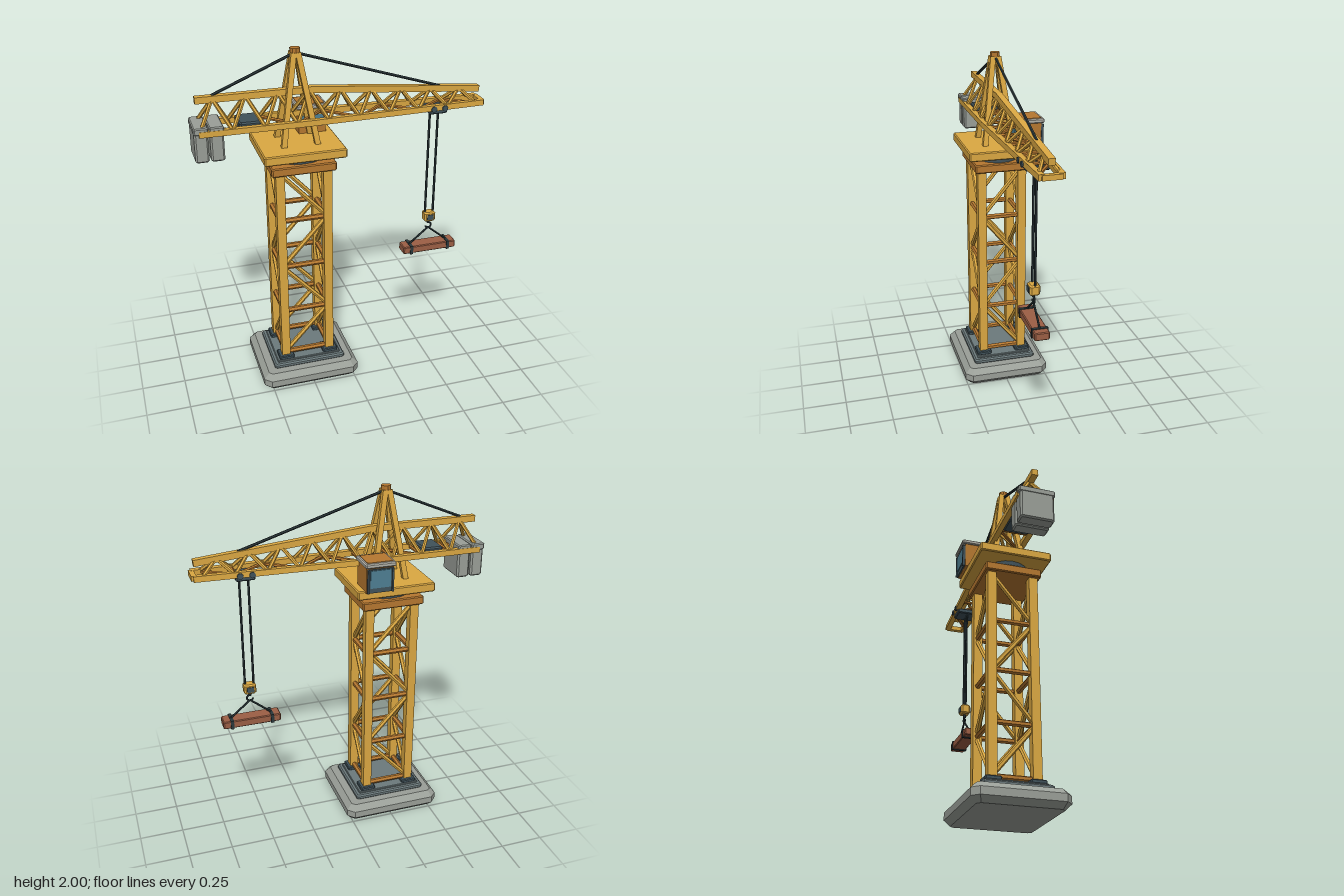
import * as THREE from 'three';

const mat = (name, color) => new THREE.MeshStandardMaterial({ name, color, flatShading: true });

export function createModel() {
  const yellow = mat('yellow paint', 0xdba842), orange = mat('orange paint', 0xb67830);
  const concrete = mat('concrete', 0x9a9f98), slate = mat('slate steel', 0x6c7a7c);
  const dark = mat('dark steel', 0x40525a), cable = mat('cable', 0x2b383b);
  const glass = mat('glass', 0x4f7f93), timber = mat('timber', 0x9c5f45);
  const trim = mat('pale trim', 0xb3b1a8);

  const model = new THREE.Group();
  model.name = 'towerCrane';
  const group = (name) => {
    const g = new THREE.Group();
    g.name = name;
    model.add(g);
    return g;
  };
  const V = (x, y, z) => new THREE.Vector3(x, y, z);
  const add = (parent, name, geo, m, x = 0, y = 0, z = 0) => {
    const mesh = new THREE.Mesh(geo, m);
    mesh.name = name;
    mesh.position.set(x, y, z);
    parent.add(mesh);
    return mesh;
  };
  const box = (p, name, m, w, h, d, x, y, z) => add(p, name, new THREE.BoxGeometry(w, h, d), m, x, y, z);

  // Straight bar between two points; four sides make a square beam of half-width r
  const rod = (p, name, m, a, b, r, sides = 6) => {
    const geo = sides === 4
      ? new THREE.BoxGeometry(2 * r, a.distanceTo(b), 2 * r)
      : new THREE.CylinderGeometry(r, r, a.distanceTo(b), sides);
    const mesh = add(p, name, geo, m);
    mesh.position.copy(a).add(b).multiplyScalar(0.5);
    mesh.quaternion.setFromUnitVectors(V(0, 1, 0), b.clone().sub(a).normalize());
    return mesh;
  };

  // Block with chamfered edges and corners, standing on y
  const slab = (p, name, m, w, h, d, c, x, y, z) => {
    const X = w / 2 - c, Z = d / 2 - c, k = c * 0.6;
    const pts = [[X, -Z + k], [X, Z - k], [X - k, Z], [-X + k, Z], [-X, Z - k], [-X, -Z + k], [-X + k, -Z], [X - k, -Z]];
    const geo = new THREE.ExtrudeGeometry(new THREE.Shape(pts.map((q) => new THREE.Vector2(...q))), {
      depth: h - 2 * c, bevelEnabled: true, bevelThickness: c, bevelSize: c, bevelSegments: 1,
    });
    geo.translate(0, 0, c).rotateX(-Math.PI / 2);
    return add(p, name, geo, m, x, y, z);
  };

  const CX = -0.262; // mast axis

  // Footing
  const base = group('base');
  slab(base, 'footing', concrete, 0.58, 0.105, 0.52, 0.032, CX, 0, 0);
  slab(base, 'lowerPlinth', slate, 0.43, 0.03, 0.38, 0.008, CX, 0.105, 0);
  slab(base, 'upperPlinth', slate, 0.385, 0.014, 0.335, 0.004, CX, 0.132, 0);

  // Lattice mast
  const mast = group('mast');
  const LX = 0.134, LZ = 0.12;
  for (const sx of [-1, 1]) for (const sz of [-1, 1]) {
    slab(mast, 'footPlate', dark, 0.09, 0.024, 0.09, 0.005, CX + sx * LX, 0.144, sz * LZ);
    box(mast, 'mastLeg', yellow, 0.05, 1.19, 0.05, CX + sx * LX, 0.755, sz * LZ);
  }
  const levels = [0.175, 0.467, 0.761, 1.055, 1.347];
  for (const s of [-1, 1]) {
    levels.forEach((y, i) => {
      if (i < 4) {
        rod(mast, 'crossBar', orange, V(CX - LX, y, s * LZ), V(CX + LX, y, s * LZ), 0.016);
        rod(mast, 'crossBar', orange, V(CX + s * LX, y, -LZ), V(CX + s * LX, y, LZ), 0.016);
        const t = i % 2 ? -1 : 1;
        const top = levels[i + 1];
        rod(mast, 'diagonalBrace', yellow, V(CX - t * LX, y, s * LZ), V(CX + t * LX, top, s * LZ), 0.014);
        rod(mast, 'diagonalBrace', yellow, V(CX + s * LX, y, -t * LZ), V(CX + s * LX, top, t * LZ), 0.014);
      }
    });
  }

  // Slewing collar and platform
  const turntable = group('turntable');
  slab(turntable, 'collar', orange, 0.364, 0.05, 0.325, 0.006, CX, 1.342, 0);
  add(turntable, 'slewRing', new THREE.CylinderGeometry(0.16, 0.16, 0.045, 20), dark, CX, 1.411, 0).scale.z = 0.85;
  slab(turntable, 'platform', yellow, 0.456, 0.052, 0.412, 0.006, CX, 1.43, 0);

  // Tower head
  const head = group('towerHead');
  for (const sx of [-1, 1]) for (const sz of [-1, 1]) {
    rod(head, 'headLeg', yellow, V(CX + sx * 0.095, 1.475, sz * 0.085), V(CX + sx * 0.012, 1.975, sz * 0.016), 0.015, 4);
  }
  add(head, 'headCap', new THREE.CylinderGeometry(0.028, 0.028, 0.035, 10), orange, CX, 1.9825, 0);

  // Jib: two lower chords, one upper chord, lacing
  const jib = group('jib');
  const BEND = -0.17, TIP = 0.82, BACK = -0.805;
  const mixTo = (x, a, b) => THREE.MathUtils.lerp(a, b, THREE.MathUtils.clamp((x - BEND) / (TIP - BEND), 0, 1));
  const upper = (x) => V(x, mixTo(x, 1.765, 1.676), 0);
  const lower = (x, s) => V(x, 1.607, s * mixTo(x, 0.088, 0.052));
  rod(jib, 'upperChord', yellow, upper(BACK), upper(BEND + 0.003), 0.018, 4);
  rod(jib, 'upperChord', yellow, upper(BEND), upper(0.81), 0.018, 4);
  for (const s of [-1, 1]) {
    rod(jib, 'lowerChord', yellow, lower(BACK, s), lower(BEND + 0.003, s), 0.016, 4);
    rod(jib, 'lowerChord', yellow, lower(BEND, s), lower(TIP, s), 0.016, 4);
  }
  const STEP = 0.175;
  for (let i = 0; i < 9; i++) {
    const x0 = -0.8 + i * STEP, x1 = x0 + STEP, xm = x0 + STEP / 2;
    for (const s of [-1, 1]) {
      rod(jib, 'sideLacing', yellow, lower(x0, s), upper(xm), 0.011);
      rod(jib, 'sideLacing', yellow, upper(xm), lower(x1, s), 0.011);
    }
    const t = i % 2 ? 1 : -1;
    rod(jib, 'floorLacing', orange, lower(x0, t), lower(x1, -t), 0.01);
    rod(jib, 'floorBar', orange, lower(x0, -1), lower(x0, 1), 0.01);
  }
  rod(jib, 'tipBar', yellow, V(0.817, 1.607, -0.052), V(0.817, 1.607, 0.052), 0.014, 4);

  // Counterweights and winch
  const counter = group('counterweights');
  for (const x of [-0.795, -0.712]) {
    slab(counter, 'counterweightBlock', concrete, 0.074, 0.17, 0.19, 0.008, x, 1.447, 0);
    slab(counter, 'counterweightCap', concrete, 0.078, 0.038, 0.204, 0.006, x, 1.604, 0);
  }
  slab(jib, 'winch', dark, 0.12, 0.055, 0.15, 0.008, -0.528, 1.585, 0);

  // Pendant cables
  rod(head, 'pendantCable', cable, V(CX, 1.972, 0), V(-0.715, 1.782, 0), 0.008);
  rod(head, 'pendantCable', cable, V(CX, 1.972, 0), V(0.57, 1.712, 0), 0.008);

  // Operator cab, windows on both z faces
  const cab = group('cab');
  const KX = -0.152, KZ = -0.152;
  box(cab, 'cabBody', orange, 0.156, 0.15, 0.142, KX, 1.549, KZ);
  slab(cab, 'cabRoof', trim, 0.176, 0.026, 0.166, 0.006, KX, 1.62, KZ - 0.007);
  box(cab, 'roofPanel', orange, 0.146, 0.006, 0.132, KX, 1.646, KZ - 0.007);
  box(cab, 'rearFrame', dark, 0.146, 0.135, 0.008, KX, 1.544, KZ - 0.075);
  box(cab, 'rearWindow', glass, 0.118, 0.1, 0.006, KX, 1.555, KZ - 0.081);
  box(cab, 'frontFrame', dark, 0.146, 0.094, 0.006, KX, 1.567, KZ + 0.073);
  box(cab, 'frontWindow', glass, 0.128, 0.078, 0.006, KX, 1.567, KZ + 0.077);
  for (const s of [-1, 1]) {
    box(cab, 'windowPost', dark, 0.01, 0.135, 0.014, KX + s * 0.07, 1.544, KZ - 0.08);
  }

  // Trolley
  const HX = 0.546;
  const trolley = group('trolley');
  slab(trolley, 'trolleyFrame', dark, 0.108, 0.032, 0.13, 0.006, HX, 1.566, 0);
  for (const sx of [-1, 1]) for (const sz of [-1, 1]) {
    const z = sz * 0.078;
    rod(trolley, 'trolleyWheel', dark, V(HX + sx * 0.033, 1.602, z - 0.006), V(HX + sx * 0.033, 1.602, z + 0.006), 0.017, 10);
  }

  // Hoist ropes, block and hook
  const hoist = group('hoist');
  for (const s of [-1, 1]) rod(hoist, 'hoistRope', cable, V(HX + s * 0.025, 1.57, 0), V(HX + s * 0.025, 0.915, 0), 0.007);
  slab(hoist, 'hookBlock', yellow, 0.07, 0.06, 0.058, 0.008, HX, 0.865, 0);
  for (const s of [-1, 1]) box(hoist, 'blockPlate', dark, 0.04, 0.032, 0.006, HX, 0.895, s * 0.03);
  rod(hoist, 'hookShank', cable, V(HX, 0.87, 0), V(HX, 0.845, 0), 0.009);
  const hook = add(hoist, 'hook', new THREE.TorusGeometry(0.018, 0.006, 6, 14, Math.PI * 1.5), cable, HX, 0.83, 0);
  hook.rotation.z = -Math.PI;

  // Slung load
  const load = group('load');
  slab(load, 'beam', timber, 0.338, 0.046, 0.084, 0.005, HX, 0.671, 0);
  for (const s of [-1, 1]) {
    box(load, 'strap', cable, 0.018, 0.054, 0.092, HX + s * 0.118, 0.694, 0);
    rod(load, 'sling', cable, V(HX, 0.815, 0), V(HX + s * 0.118, 0.718, 0), 0.006);
  }
  return model;
}
